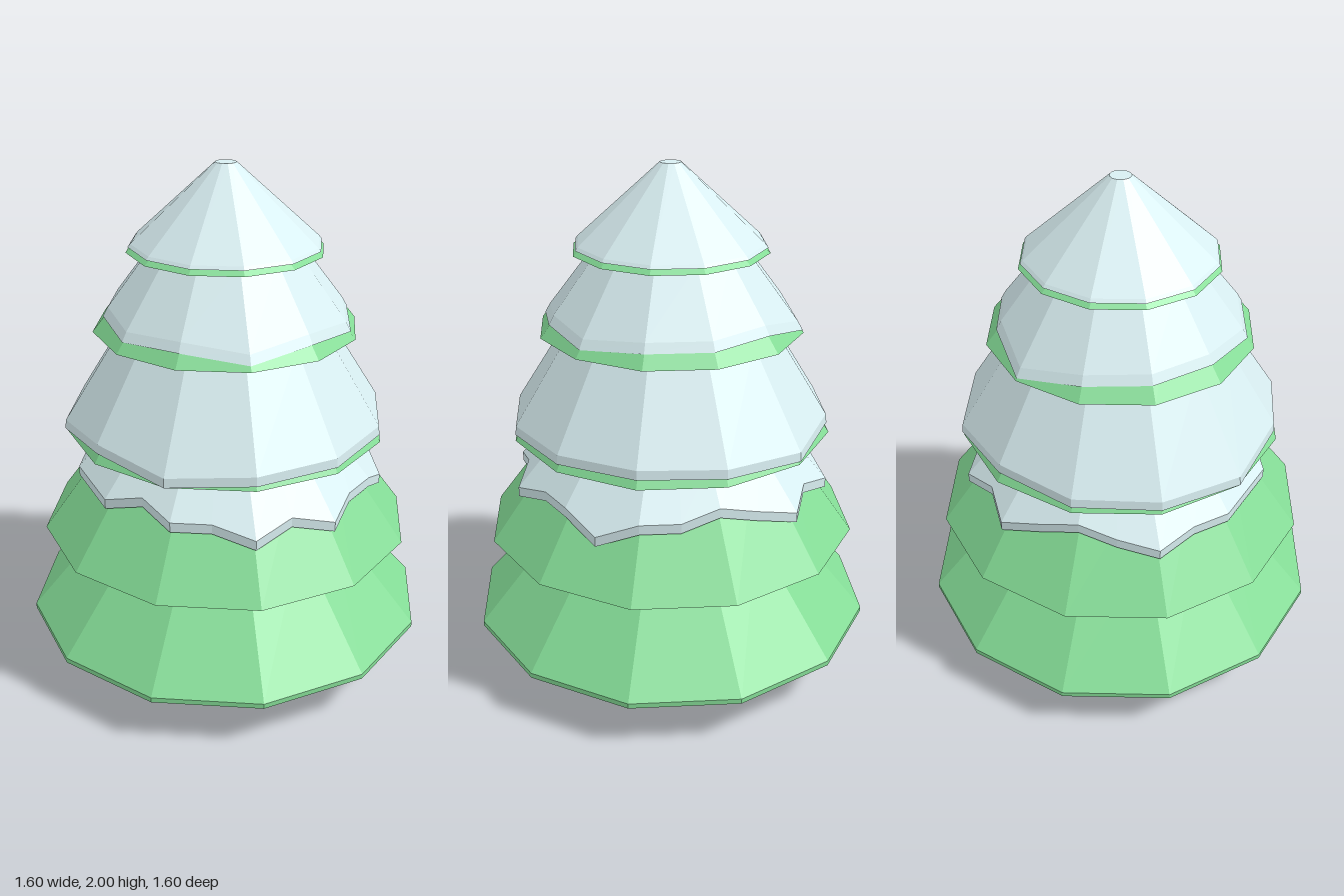
import * as THREE from 'three';

const paint = (color) => new THREE.MeshStandardMaterial({ color, flatShading: true });

// Surface through rings of [radius, y], listed from top to bottom and running from +x towards +z.
function loft(rings) {
  const n = rings[0].length, pos = [], index = [];
  rings.forEach((ring) => ring.forEach(([r, y], i) => {
    const a = (i / n) * Math.PI * 2;
    pos.push(r * Math.cos(a), y, r * Math.sin(a));
  }));
  for (let k = 0; k < rings.length - 1; k++) {
    for (let i = 0; i < n; i++) {
      const j = (i + 1) % n, t = k * n, b = t + n;
      index.push(t + i, t + j, b + j, t + i, b + j, b + i);
    }
  }
  const geo = new THREE.BufferGeometry();
  geo.setAttribute('position', new THREE.Float32BufferAttribute(pos, 3));
  geo.setIndex(index);
  geo.computeVertexNormals();
  return geo;
}

// Snow shell on a 12-sided cone; hem holds the height of its wavy edge at each corner (12 or 24).
function snowShell({ top, slope, hem, drop, flare }) {
  const [r0, y0] = top;
  const n = hem.length;
  // points halfway along a side of the 12-gon sit closer to the axis
  const inset = (i) => (n === 24 && i % 2 ? Math.cos(Math.PI / 12) : 1);
  const ring = (f) => hem.map((y, i) => {
    const [r, h] = f(y, r0 + slope * (y0 - y));
    return [r * inset(i), h];
  });
  return loft([
    ring(() => [0, y0]),
    ring(() => [r0, y0]),
    ring((y, r) => [r, y]),
    ring((y, r) => [r + flare, y - drop]),
    ring((y, r) => [r - 0.07, y - drop]),
  ]);
}

export function createModel() {
  const tree = new THREE.Group();
  tree.name = 'snowyTree';
  const green = paint(0x85dd97), white = paint(0xd8eef1), brown = paint(0xd87040);
  const add = (name, geo, mat) => {
    const mesh = new THREE.Mesh(geo, mat);
    mesh.name = name;
    tree.add(mesh);
    return mesh;
  };

  // Trunk: octagon with flat sides facing the axes
  const trunk = add('trunk', new THREE.CylinderGeometry(0.136, 0.136, 0.2, 8), brown);
  trunk.rotation.y = Math.PI / 8;
  trunk.position.y = 0.1;

  // Branch tiers: bottom radius, bottom y, top radius, top y
  const tiers = [
    [0.8, 0.2, 0.44, 0.62],
    [0.735, 0.56, 0.42, 0.99],
    [0.625, 0.98, 0.37, 1.39],
    [0.51, 1.38, 0.265, 1.69],
    [0.375, 1.68, 0.03, 1.98],
  ];
  tiers.forEach(([rb, yb, rt, yt], i) => {
    const tier = add(`branchTier${i + 1}`, new THREE.CylinderGeometry(rt, rb, yt - yb, 12), green);
    tier.position.y = (yb + yt) / 2;
  });

  // Thin upright rim under the lowest tier
  const rim = add('bottomRim', new THREE.CylinderGeometry(0.8, 0.8, 0.02, 12), green);
  rim.position.y = 0.19;

  // Snow on the upper four tiers
  const snow = [
    { top: [0.44, 0.99], slope: 0.88, drop: 0.038, flare: 0,
      hem: [0.82, 0.76, 0.82, 0.82, 0.78, 0.82, 0.78, 0.82, 0.82, 0.86, 0.82, 0.82,
        0.82, 0.82, 0.79, 0.82, 0.86, 0.82, 0.78, 0.82, 0.78, 0.82, 0.86, 0.82] },
    { top: [0.4, 1.39], slope: 0.63, drop: 0.035, flare: 0.004,
      hem: [1.05, 1.045, 1.04, 1.035, 1.02, 1.055, 1.025, 1.035, 1.04, 1.055, 1.03, 1.045] },
    { top: [0.285, 1.69], slope: 0.76, drop: 0.035, flare: 0.02,
      hem: [1.465, 1.445, 1.465, 1.435, 1.465, 1.455, 1.475, 1.47, 1.465, 1.425, 1.475, 1.465] },
    { top: [0.04, 2], slope: 1.1, drop: 0.012, flare: 0.01, hem: Array(12).fill(1.712) },
  ];
  snow.forEach((s, i) => add(`snow${i + 2}`, snowShell(s), white));

  return tree;
}
